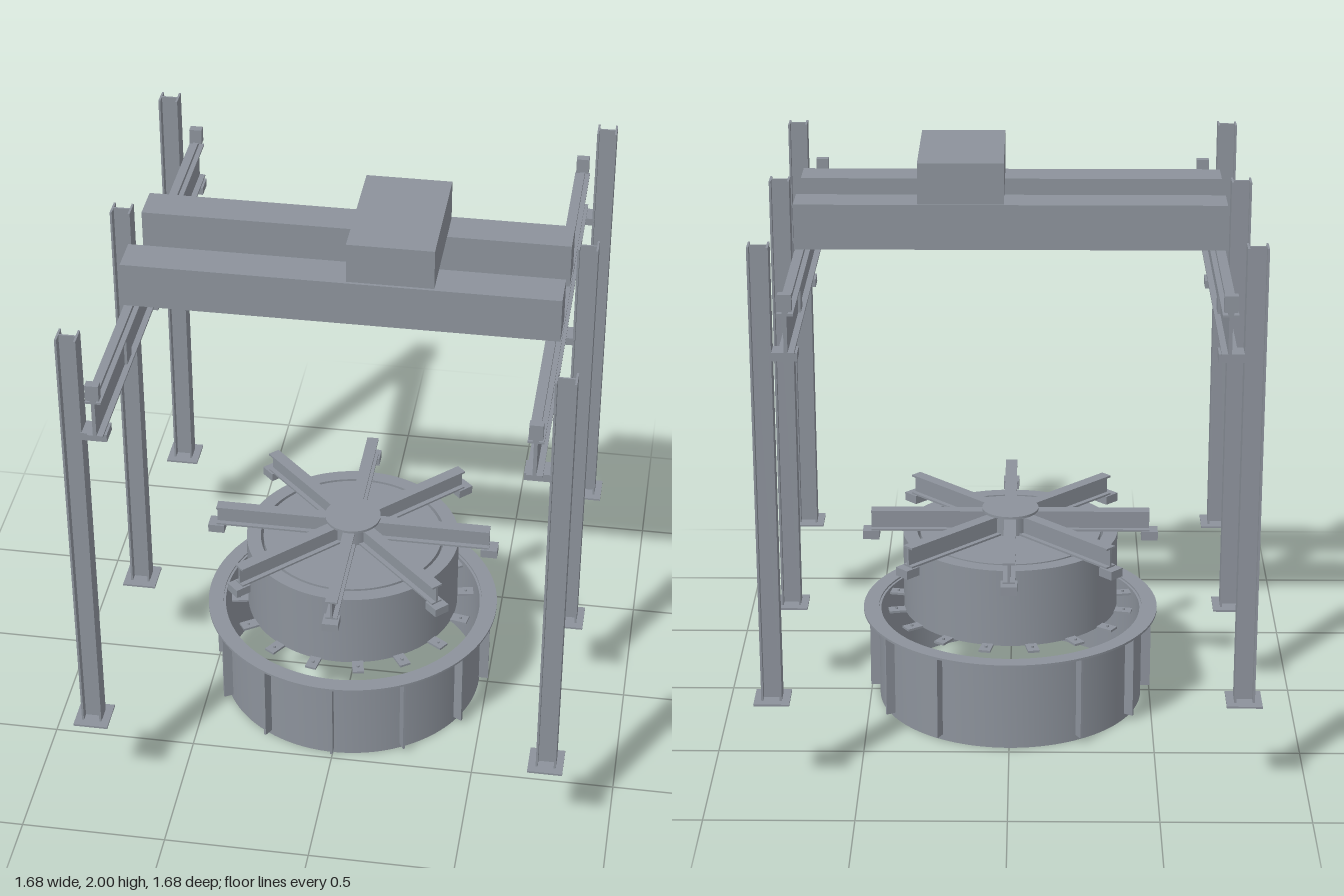
import * as THREE from 'three';
import { toCreasedNormals } from 'three/addons/utils/BufferGeometryUtils.js';

const steel = new THREE.MeshStandardMaterial({ color: 0x8c929b, side: THREE.DoubleSide });
steel.name = 'steel grey';

function add(parent, name, geometry, x = 0, y = 0, z = 0) {
  const mesh = new THREE.Mesh(geometry, steel);
  mesh.name = name;
  mesh.position.set(x, y, z);
  parent.add(mesh);
  return mesh;
}

// box given by its limits on each axis
function block(parent, name, [x0, x1], [y0, y1], [z0, z1]) {
  return add(parent, name, new THREE.BoxGeometry(x1 - x0, y1 - y0, z1 - z0),
    (x0 + x1) / 2, (y0 + y1) / 2, (z0 + z1) / 2);
}

// I section standing along y, extruded along +z
function iBeam(width, depth, flange, web, length) {
  const w = width / 2, d = depth / 2, t = web / 2, f = d - flange;
  const half = [[w, -d], [w, -f], [t, -f], [t, f], [w, f], [w, d]];
  const points = [...half, ...half.map(([x, y]) => [-x, -y])];
  const shape = new THREE.Shape(points.map(([x, y]) => new THREE.Vector2(x, y)));
  return new THREE.ExtrudeGeometry(shape, { depth: length, bevelEnabled: false });
}

// horizontal ring between two heights
function ring(outer, inner, y0, y1) {
  const shape = new THREE.Shape().absarc(0, 0, outer, 0, Math.PI * 2, false);
  shape.holes.push(new THREE.Path().absarc(0, 0, inner, 0, Math.PI * 2, true));
  const g = new THREE.ExtrudeGeometry(shape, { depth: y1 - y0, bevelEnabled: false, curveSegments: 64 });
  g.rotateX(-Math.PI / 2).translate(0, y0, 0);
  return toCreasedNormals(g, 0.5);
}

// repeats a part around the vertical axis
function around(parent, name, count, offset, build) {
  for (let i = 0; i < count; i++) {
    const part = new THREE.Group();
    part.name = name;
    part.rotation.y = ((i + offset) / count) * Math.PI * 2;
    build(part);
    parent.add(part);
  }
}

// columns, runway girder, rail and stops of one side (built on +x)
function createRunway(side) {
  const g = new THREE.Group();
  g.name = side > 0 ? 'leftRunway' : 'rightRunway';
  const span = (a, b) => (side > 0 ? [a, b] : [-b, -a]);
  for (const z of [-0.78, 0, 0.78]) {
    const column = iBeam(0.066, 0.068, 0.007, 0.006, 1.56);
    column.rotateZ(Math.PI / 2).rotateX(-Math.PI / 2);
    add(g, 'column', column, side * 0.78, 0.34, z);
    block(g, 'basePlate', span(0.72, 0.838), [0.335, 0.342], [z - 0.06, z + 0.06]);
    block(g, 'bracket', span(0.664, 0.75), [1.528, 1.555], [z - 0.035, z + 0.035]);
  }
  add(g, 'runwayGirder', iBeam(0.052, 0.135, 0.007, 0.012, 1.666), side * 0.698, 1.6225, -0.833);
  block(g, 'rail', span(0.689, 0.707), [1.69, 1.704], [-0.833, 0.833]);
  for (const z of [-1, 1]) {
    block(g, 'endStop', span(0.676, 0.72), [1.7, 1.755], [z * 0.825 - 0.015, z * 0.825 + 0.015]);
    block(g, 'splicePlate', span(0.683, 0.713), [1.562, 1.683], [z * 0.39 - 0.032, z * 0.39 + 0.032]);
  }
  return g;
}

// travelling bridge with trolley
function createBridge() {
  const g = new THREE.Group();
  g.name = 'craneBridge';
  block(g, 'rearBridgeBeam', [-0.725, 0.722], [1.705, 1.86], [-0.178, -0.048]);
  block(g, 'frontBridgeBeam', [-0.725, 0.722], [1.705, 1.86], [0.157, 0.288]);
  block(g, 'trolley', [0.02, 0.308], [1.86, 2], [-0.17, 0.278]);
  return g;
}

// lower shell with ribs and top flange
function createLowerShell() {
  const g = new THREE.Group();
  g.name = 'lowerShell';
  add(g, 'shellWall', ring(0.468, 0.46, 0, 0.332));
  add(g, 'shellFlange', ring(0.522, 0.468, 0.33, 0.338));
  around(g, 'rib', 12, 0, (p) => block(p, 'ribPlate', [0.465, 0.502], [0.02, 0.33], [-0.004, 0.004]));
  return g;
}

// upper drum with tabs and cover disc
function createDrum() {
  const g = new THREE.Group();
  g.name = 'upperDrum';
  add(g, 'drumWall', ring(0.378, 0.328, 0.345, 0.625));
  add(g, 'coverDisc', new THREE.CylinderGeometry(0.318, 0.318, 0.025, 96), 0, 0.612, 0);
  around(g, 'tab', 16, 0.5, (p) => {
    block(p, 'tabPlate', [0.37, 0.437], [0.343, 0.351], [-0.02, 0.02]);
    add(p, 'tabBolt', new THREE.CylinderGeometry(0.005, 0.005, 0.012, 10), 0.41, 0.352, 0);
  });
  return g;
}

// eight-armed lifting frame with hub and feet
function createSpider() {
  const g = new THREE.Group();
  g.name = 'spider';
  add(g, 'hub', new THREE.CylinderGeometry(0.07, 0.07, 0.08, 48), 0, 0.665, 0);
  add(g, 'hubCap', new THREE.CylinderGeometry(0.099, 0.099, 0.009, 64), 0, 0.705, 0);
  around(g, 'arm', 8, 0, (p) => {
    const beam = iBeam(0.042, 0.075, 0.007, 0.008, 0.43);
    beam.rotateY(Math.PI / 2);
    add(p, 'armBeam', beam, 0.06, 0.6625, 0);
    block(p, 'foot', [0.462, 0.52], [0.595, 0.626], [-0.028, 0.028]);
  });
  return g;
}

export function createModel() {
  const model = new THREE.Group();
  model.name = 'assemblyPitWithCrane';
  model.add(createRunway(1), createRunway(-1), createBridge(),
    createLowerShell(), createDrum(), createSpider());
  return model;
}
